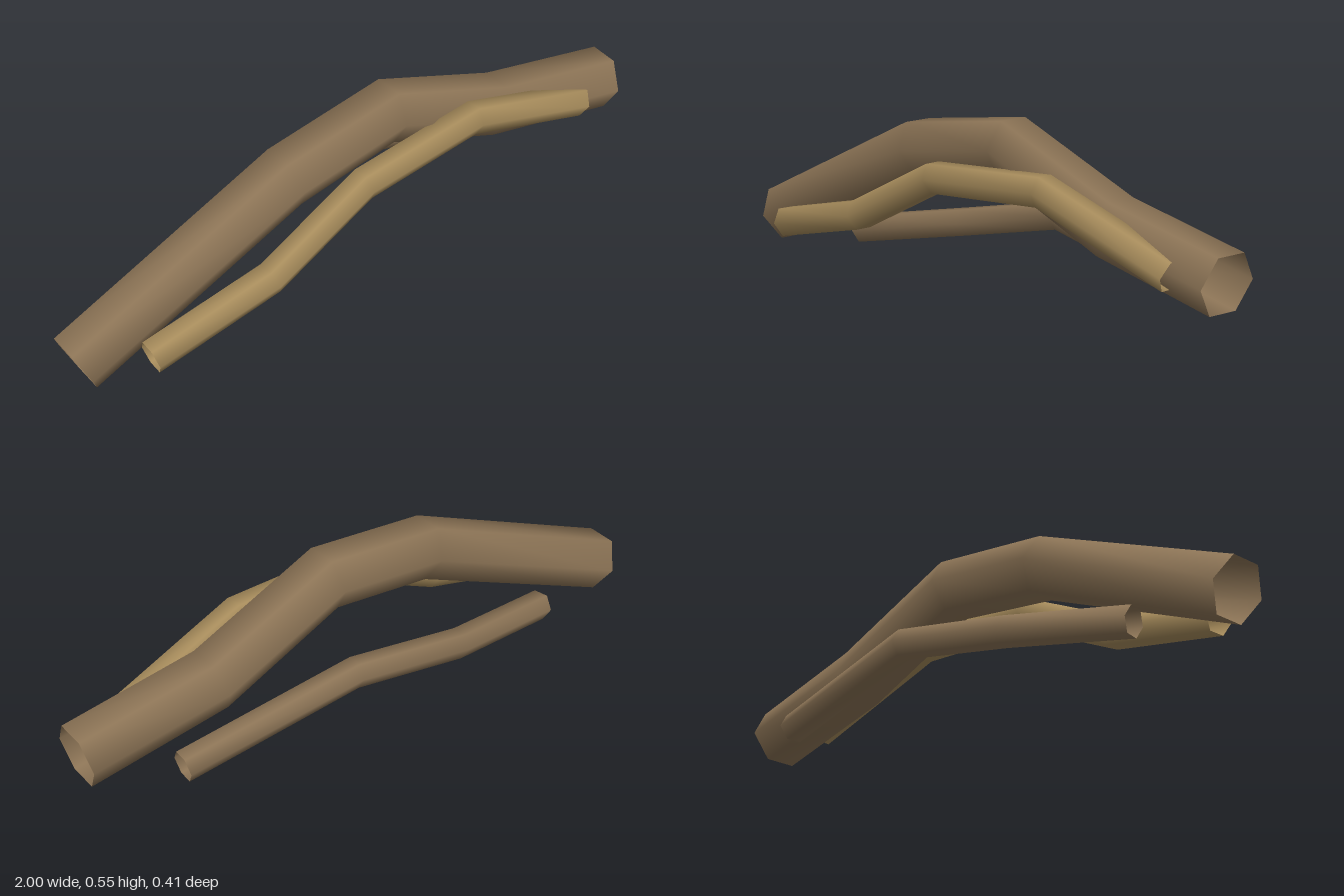
import * as THREE from 'three';

// Sweeps an open hexagonal tube through the given centre points, flat side up.
function branch(name, points, radius, color, sides = 6) {
  const path = points.map((p) => new THREE.Vector3(...p));
  const up = new THREE.Vector3(0, 1, 0);
  const direction = (a, b) => path[b].clone().sub(path[a]).normalize();
  const positions = [];
  const indices = [];

  path.forEach((centre, i) => {
    // Each ring lies on the bisector of the two segments that meet there.
    const tangent = new THREE.Vector3();
    if (i > 0) tangent.add(direction(i - 1, i));
    if (i < path.length - 1) tangent.add(direction(i, i + 1));
    tangent.normalize();
    const side = tangent.clone().cross(up).normalize();
    const normal = side.clone().cross(tangent);

    for (let j = 0; j < sides; j++) {
      const angle = (j / sides) * Math.PI * 2;
      const v = centre.clone()
        .addScaledVector(side, Math.cos(angle) * radius)
        .addScaledVector(normal, Math.sin(angle) * radius);
      positions.push(v.x, v.y, v.z);

      if (i < path.length - 1) {
        const a = i * sides + j;
        const b = i * sides + ((j + 1) % sides);
        indices.push(a, a + sides, b, b, a + sides, b + sides);
      }
    }
  });

  const geometry = new THREE.BufferGeometry();
  geometry.setAttribute('position', new THREE.Float32BufferAttribute(positions, 3));
  geometry.setIndex(indices);
  geometry.computeVertexNormals();

  const material = new THREE.MeshStandardMaterial({ color, side: THREE.DoubleSide });
  const mesh = new THREE.Mesh(geometry, material);
  mesh.name = name;
  return mesh;
}

export function createModel() {
  const group = new THREE.Group();
  group.name = 'branches';

  // Thick arched branch
  group.add(branch('mainBranch', [
    [-0.965, 0.08, 0.007],
    [-0.246, 0.41, 0.025],
    [0.13, 0.467, 0.013],
    [0.545, 0.304, 0.005],
    [0.983, 0.232, 0.03],
  ], 0.096, 0x8b7355));

  // Pale thin branch along the front
  group.add(branch('frontBranch', [
    [-0.795, 0.098, 0.133],
    [-0.395, 0.195, 0.153],
    [-0.055, 0.365, 0.143],
    [0.375, 0.393, 0.117],
    [0.84, 0.237, 0.086],
  ], 0.051, 0xa68b5b));

  // Dark thin branch along the back
  group.add(branch('backBranch', [
    [-0.663, 0.067, -0.065],
    [-0.25, 0.15, -0.145],
    [0.16, 0.242, -0.16],
    [0.732, 0.156, -0.111],
  ], 0.047, 0x8b7355));

  return group;
}
